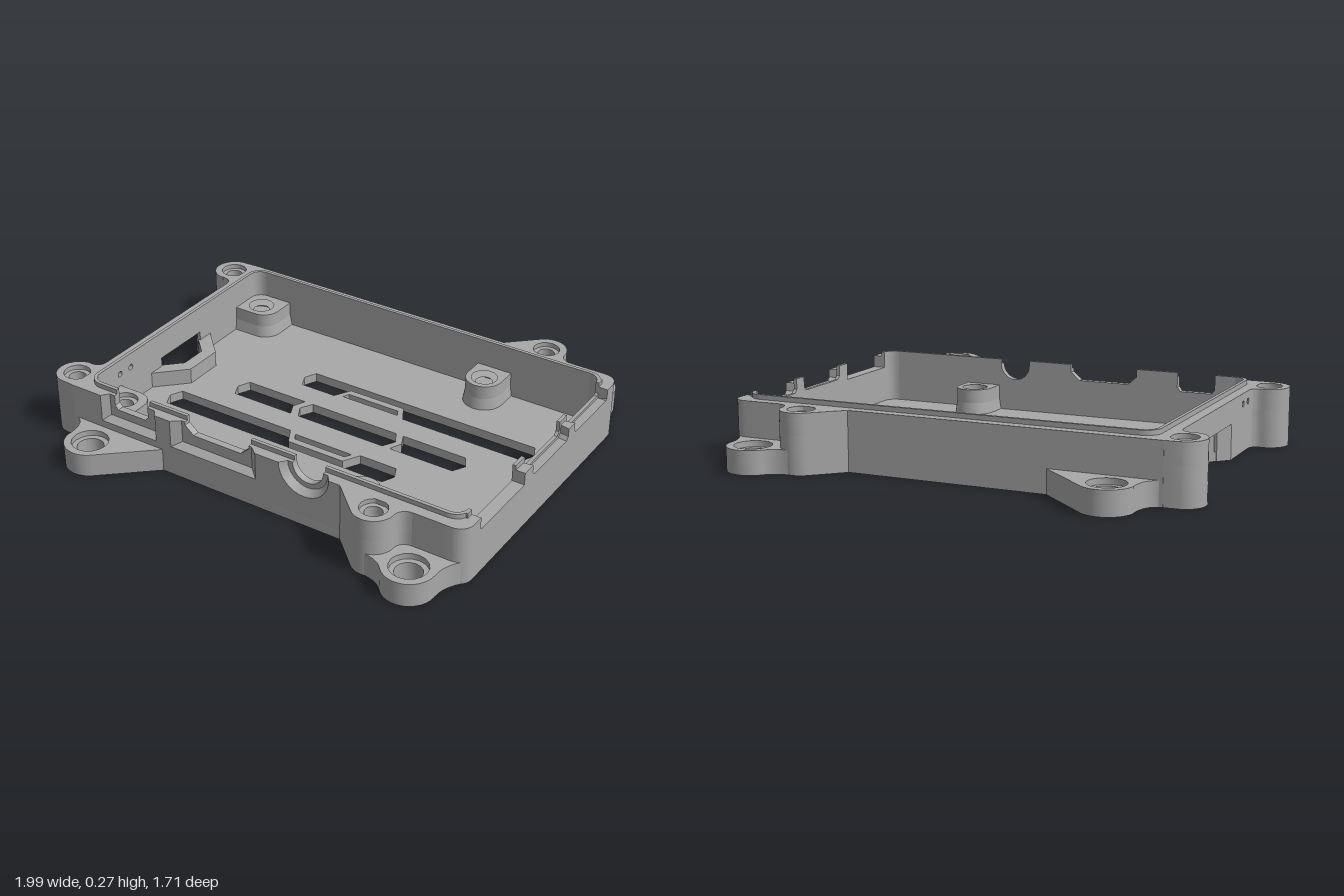
import * as THREE from 'three';
import { toCreasedNormals } from 'three/addons/utils/BufferGeometryUtils.js';

const grey = new THREE.MeshStandardMaterial({ color: 0xa8a8a8 });
grey.name = 'grey plastic';

// points on an arc, angles in degrees
const arc = (cx, cy, r, a0, a1, n = 16) => Array.from({ length: n + 1 }, (_, i) => {
  const a = THREE.MathUtils.degToRad(a0 + (a1 - a0) * i / n);
  return [cx + r * Math.cos(a), cy + r * Math.sin(a)];
});
// points on a quadratic curve
const bend = (a, b, c, n = 8) => Array.from({ length: n + 1 }, (_, i) => {
  const t = i / n, u = 1 - t;
  return [0, 1].map(k => u * u * a[k] + 2 * u * t * b[k] + t * t * c[k]);
});
const circle = (cx, cz, r) => arc(cx, cz, r, 0, 337.5, 15);
const vec = pts => pts.map(p => new THREE.Vector2(p[0], p[1]));

function extrude(pts, holes, depth) {
  const shape = new THREE.Shape(vec(pts));
  holes.forEach(h => shape.holes.push(new THREE.Path(vec(h))));
  return new THREE.ExtrudeGeometry(shape, { depth, bevelEnabled: false });
}

export function createModel() {
  const root = new THREE.Group();
  const add = (name, geo) => {
    const mesh = new THREE.Mesh(toCreasedNormals(geo, 0.5), grey);
    mesh.name = name;
    root.add(mesh);
    return mesh;
  };

  // plate drawn in plan (x, z), mirrored in z by s, between heights y0 and y1
  const plate = (name, pts, y0, y1, holes = [], s = 1, draft) => {
    const flip = list => list.map(([x, z]) => [x, z * s]);
    const g = extrude(flip(pts), holes.map(flip), y1 - y0);
    if (draft) { // widen the foot of the plate
      const p = g.attributes.position, [cx, cz, k] = draft;
      for (let i = 0; i < p.count; i++) if (p.getZ(i) > 1e-4) {
        p.setX(i, cx + (p.getX(i) - cx) * k);
        p.setY(i, s * cz + (p.getY(i) - s * cz) * k);
      }
      g.computeVertexNormals();
    }
    g.rotateX(Math.PI / 2).translate(0, y1, 0);
    return add(name, g);
  };
  // screw post with a stepped blind hole
  const post = (name, pts, y0, y1, cx, cz, s) => {
    plate(name, pts, y0, y1 - 0.09, [], s);
    plate(name, pts, y1 - 0.09, y1 - 0.02, [circle(cx, cz, 0.036)], s);
    plate(name, pts, y1 - 0.02, y1, [circle(cx, cz, 0.056)], s);
  };

  // upright wall: profile (u, y) with notches in the top edge.
  // tapers [centre, half width, scale, anchor height] narrow cut-outs at one face
  const wallGeo = (u0, u1, top, notches, depth, tapers = [], taperAtFar = false, holes = [], below = []) => {
    const pts = [[u0, 0], [u0, top], ...notches.flat(), [u1, top], [u1, 0], ...below];
    const g = extrude(pts, holes, depth), p = g.attributes.position;
    for (let i = 0; i < p.count; i++) {
      if ((p.getZ(i) > depth / 2) !== taperAtFar) continue;
      for (const [c, hw, k, ay] of tapers) {
        if (Math.abs(p.getX(i) - c) > hw + 1e-4 || p.getY(i) > 0.2501) continue;
        p.setX(i, c + (p.getX(i) - c) * k);
        if (ay) p.setY(i, ay + (p.getY(i) - ay) * k);
        break;
      }
    }
    g.computeVertexNormals();
    return g;
  };
  const frontWall = (name, geo, z) => add(name, geo.translate(0, 0, z));
  const sideWall = (name, geo, x) => add(name, geo.rotateY(-Math.PI / 2).translate(x, 0, 0));

  // floor with vent slots and the card cut-out on the right edge
  const tabbed = (x0, x1, s) => [
    [x0, 0.22], [x0 + 0.025, 0.165], [-0.105, 0.165], [-0.065, 0.238], [0.2, 0.238],
    [0.24, 0.165], [x1 - 0.025, 0.165], [x1, 0.22], [x1 - 0.025, 0.275], [x0 + 0.025, 0.275],
  ].map(([x, z]) => [x, z * s]);
  const tabHole = s => [[-0.07, 0.178], [-0.055, 0.208], [0.19, 0.208], [0.205, 0.178]].map(([x, z]) => [x, z * s]);
  const h = 0.055;
  plate('floor', [
    [-0.86, 0.64], [-0.86, 0.185], [-0.735, 0.06], [-0.735, -0.06], [-0.86, -0.185], [-0.86, -0.64],
    ...arc(0.93, -0.58, 0.06, -90, 0, 6), ...arc(0.93, 0.58, 0.06, 0, 90, 6),
  ], 0, 0.04, [
    tabbed(-0.295, 0.83, -1), tabHole(-1), tabbed(-0.695, 0.435, 1), tabHole(1),
    [[-0.495, 0], [-0.47, -h], [-0.18, -h], [-0.205, 0], [-0.18, h], [-0.47, h]],
    [[-0.17, 0], [-0.14, -h], [0.275, -h], [0.305, 0], [0.275, h], [-0.14, h]],
    [[0.335, 0], [0.31, -h], [0.605, -h], [0.635, 0], [0.605, h], [0.31, h]],
  ]);
  plate('cardShield', [
    [-0.805, -0.215], [-0.68, -0.09], [-0.68, 0.09], [-0.805, 0.215],
    [-0.805, 0.13], [-0.735, 0.06], [-0.735, -0.06], [-0.805, -0.13],
  ], 0, 0.11);

  // front wall: thin lip, notched core, tapered connector pockets outside
  const ports = t => [
    [[-0.66, t], [-0.66, 0.205], [-0.645, 0.187], [-0.505, 0.187], [-0.49, 0.205], [-0.49, t]],
    [[-0.3, t], [-0.3, 0.235], [-0.26, 0.2], [-0.03, 0.2], [0.01, 0.235], [0.01, t]],
    [...(t > 0.25 ? [[0.215, t]] : []), ...arc(0.285, 0.25, 0.07, 180, 360), ...(t > 0.25 ? [[0.355, t]] : [])],
  ];
  const pockets = [
    [[-0.71, 0.25], [-0.71, 0.13], [-0.43, 0.13], [-0.43, 0.25]],
    [[-0.355, 0.25], [-0.355, 0.13], [0.06, 0.13], [0.06, 0.25]],
    arc(0.285, 0.25, 0.115, 180, 360),
  ];
  frontWall('frontLip', wallGeo(-0.75, 0.885, 0.27, ports(0.27), 0.015), 0.58);
  frontWall('frontWallCore', wallGeo(-0.75, 0.885, 0.25, ports(0.25), 0.015), 0.595);
  frontWall('frontWallPockets', wallGeo(-0.75, 0.885, 0.25, pockets, 0.03,
    [[-0.57, 0.14, 0.82, 0.25], [-0.1475, 0.2075, 0.82, 0.25], [0.285, 0.115, 0.8, 0.25]]), 0.61);

  // plain back wall
  frontWall('backWall', wallGeo(-0.75, 0.885, 0.25, [], 0.045), -0.64);
  frontWall('backLip', wallGeo(-0.75, 0.885, 0.27, [], 0.015), -0.595);

  // left wall with a power-side recess and two socket openings
  const sockets = (t, e) => [
    ...[[-0.535, -0.235], [-0.175, 0.12]].map(([a, b]) => [
      [a - e, t], [a - e, 0.225 - e], [a + 0.015 - e, 0.21 - e],
      [b - 0.015 + e, 0.21 - e], [b + e, 0.225 - e], [b + e, t]]),
    [[0.19, t], [0.19, 0.197], [0.53, 0.197], [0.53, t]],
  ];
  sideWall('leftWall', wallGeo(-0.56, 0.56, 0.25, sockets(0.25, 0.012), 0.04,
    [[-0.385, 0.163, 0.94, 0.25], [-0.0275, 0.16, 0.94, 0.25]]), 0.99);
  sideWall('leftLip', wallGeo(-0.56, 0.56, 0.27, sockets(0.27, 0), 0.015), 0.95);

  // right wall with the card opening and two indicator holes
  const leds = [circle(0.34, 0.205, 0.013), circle(0.41, 0.205, 0.013)];
  const opening = [[0.185, 0], [0.185, 0.15], [-0.185, 0.15], [-0.185, 0]];
  sideWall('rightWall', wallGeo(-0.53, 0.53, 0.25, [], 0.045, [[0, 0.186, 0.74]], false, leds, opening)
    , -0.815);
  sideWall('rightLip', wallGeo(-0.53, 0.53, 0.27, [], 0.015, [], false, leds,
    [[0.137, 0], [0.137, 0.15], [-0.137, 0.15], [-0.137, 0]]), -0.8);

  for (const s of [1, -1]) {
    // wall corners and their lips
    const inner = [[0.935, 0.53], ...arc(0.885, 0.53, 0.05, 0, 90, 6)];
    plate('leftCorner', [...inner, [0.885, 0.64], ...arc(0.93, 0.58, 0.06, 90, 0, 6), [0.99, 0.53]], 0, 0.25, [], s);
    plate('leftCornerLip', [...inner, ...arc(0.885, 0.53, 0.065, 90, 0, 6)], 0.25, 0.27, [], s);
    const innerR = arc(-0.75, 0.53, 0.05, 180, 90, 6);
    plate('rightCorner', [...innerR, [-0.75, 0.64], [-0.86, 0.64], [-0.86, 0.53]], 0, 0.25, [], s);
    plate('rightCornerLip', [...innerR, ...arc(-0.75, 0.53, 0.065, 90, 180, 6)], 0.25, 0.27, [], s);

    // tall screw lugs outside the walls
    post('rightScrewLug', [
      ...bend([-0.86, 0.42], [-0.86, 0.465], [-0.91, 0.465]),
      ...arc(-0.91, 0.55, 0.087, 270, 100), [-0.88, 0.638], [-0.83, 0.64], [-0.822, 0.6], [-0.822, 0.42],
    ], 0, 0.25, -0.91, 0.55, s);
    post('leftScrewLug', [
      [0.45, 0.6], [0.45, 0.64], ...arc(0.63, 0.69, 0.087, 135, 10),
      ...bend([0.716, 0.69], [0.718, 0.645], [0.765, 0.64]), [0.765, 0.6],
    ], 0, 0.25, 0.63, 0.69, s);

    // low mounting feet with counterbored through holes
    const rightFoot = [
      [-0.86, 0.6], ...bend([-0.86, 0.635], [-0.79, 0.65], [-0.79, 0.75]),
      ...arc(-0.685, 0.75, 0.107, 175, 46), [-0.4, 0.64], [-0.4, 0.6],
    ];
    const leftFoot = [
      [0.63, 0.6], ...bend([0.63, 0.775], [0.7, 0.775], [0.735, 0.815]),
      ...arc(0.82, 0.75, 0.107, 135, 0), ...bend([0.927, 0.74], [0.925, 0.67], [0.982, 0.61]), [0.94, 0.6],
    ];
    for (const [name, pts, cx] of [['rightFoot', rightFoot, -0.685], ['leftFoot', leftFoot, 0.82]]) {
      plate(name, pts, 0, 0.075, [circle(cx, 0.75, 0.055)], s);
      plate(name, pts, 0.075, 0.1, [circle(cx, 0.75, 0.077)], s);
    }

    // board standoffs inside, flared towards the floor
    const standoffs = [
      [-0.715, [[-0.805, 0.585], [-0.805, 0.41], ...arc(-0.69, 0.48, 0.07, 270, 360, 8), [-0.62, 0.585]]],
      [0.445, [[0.365, 0.585], ...arc(0.445, 0.49, 0.08, 180, 360), [0.525, 0.585]]],
    ];
    for (const [cx, pts] of standoffs) {
      plate('standoffBase', pts, 0.03, 0.09, [], s, [cx, 0.49, 1.12]);
      plate('standoff', pts, 0.09, 0.13, [circle(cx, 0.49, 0.036)], s);
      plate('standoffTop', pts, 0.13, 0.15, [circle(cx, 0.49, 0.056)], s);
    }
  }
  return root;
}
